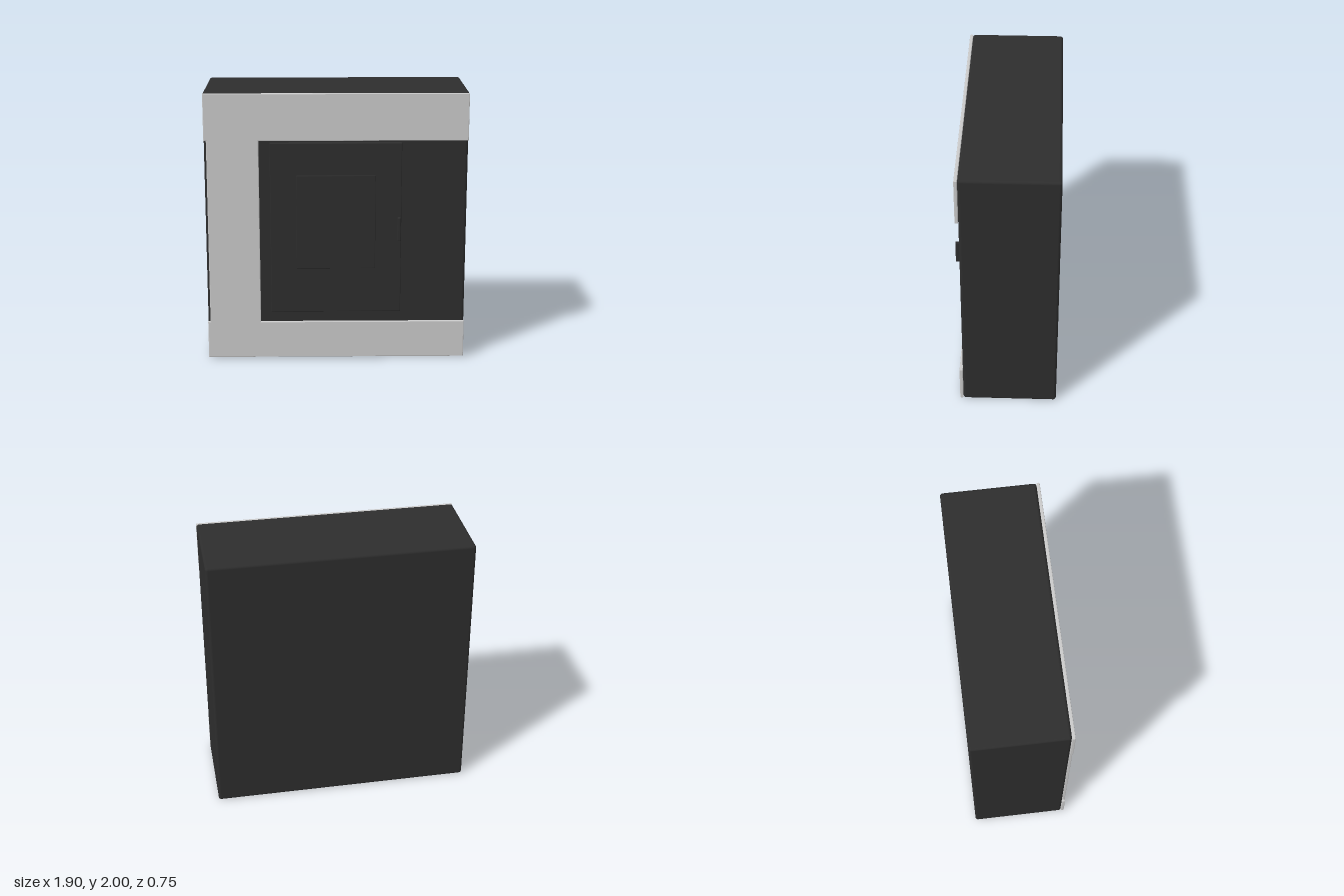
import * as THREE from 'three';
import { RoundedBoxGeometry } from 'three/addons/geometries/RoundedBoxGeometry.js';

export function createModel() {
  const group = new THREE.Group();
  const charcoal = new THREE.MeshStandardMaterial({ color: 0x2d2d2d });
  charcoal.name = 'charcoal';
  const lightGrey = new THREE.MeshStandardMaterial({ color: 0xcacaca });
  lightGrey.name = 'light grey';

  // Rounded box given by its limits on each axis
  function box(name, [x0, x1], [y0, y1], [z0, z1], radius) {
    const geometry = new RoundedBoxGeometry(x1 - x0, y1 - y0, z1 - z0, 3, radius);
    const mesh = new THREE.Mesh(geometry, charcoal);
    mesh.position.set((x0 + x1) / 2, (y0 + y1) / 2, (z0 + z1) / 2);
    mesh.name = name;
    group.add(mesh);
  }

  // Cabinet body, door, raised door panel and handle
  box('cabinetBody', [-0.948, 0.948], [0, 2], [-0.375, 0.309], 0.02);
  box('door', [-0.477, 0.472], [0.37, 1.637], [0.29, 0.347], 0.005);
  box('doorPanel', [-0.288, 0.284], [0.705, 1.4], [0.33, 0.354], 0.004);
  box('handle', [0.444, 0.467], [0.915, 1.09], [0.335, 0.375], 0.006);

  // C-shaped front trim: top and bottom bands joined by a slightly inset upright
  const outline = [
    [-0.948, 0.008], [0.948, 0.008], [0.948, 0.286], [-0.556, 0.286],
    [-0.556, 1.65], [0.948, 1.65], [0.948, 1.992], [-0.948, 1.992],
    [-0.948, 1.65], [-0.93, 1.65], [-0.93, 0.286], [-0.948, 0.286],
  ].map(([x, y]) => new THREE.Vector2(x, y));
  const bevel = 0.005;
  const trimGeometry = new THREE.ExtrudeGeometry(new THREE.Shape(outline), {
    depth: 0.024 - 2 * bevel,
    bevelEnabled: true,
    bevelSize: bevel,
    bevelThickness: bevel,
    bevelOffset: -bevel,
    bevelSegments: 2,
  });
  const trim = new THREE.Mesh(trimGeometry, lightGrey);
  trim.position.z = 0.309 + bevel;
  trim.name = 'frontTrim';
  group.add(trim);

  return group;
}
